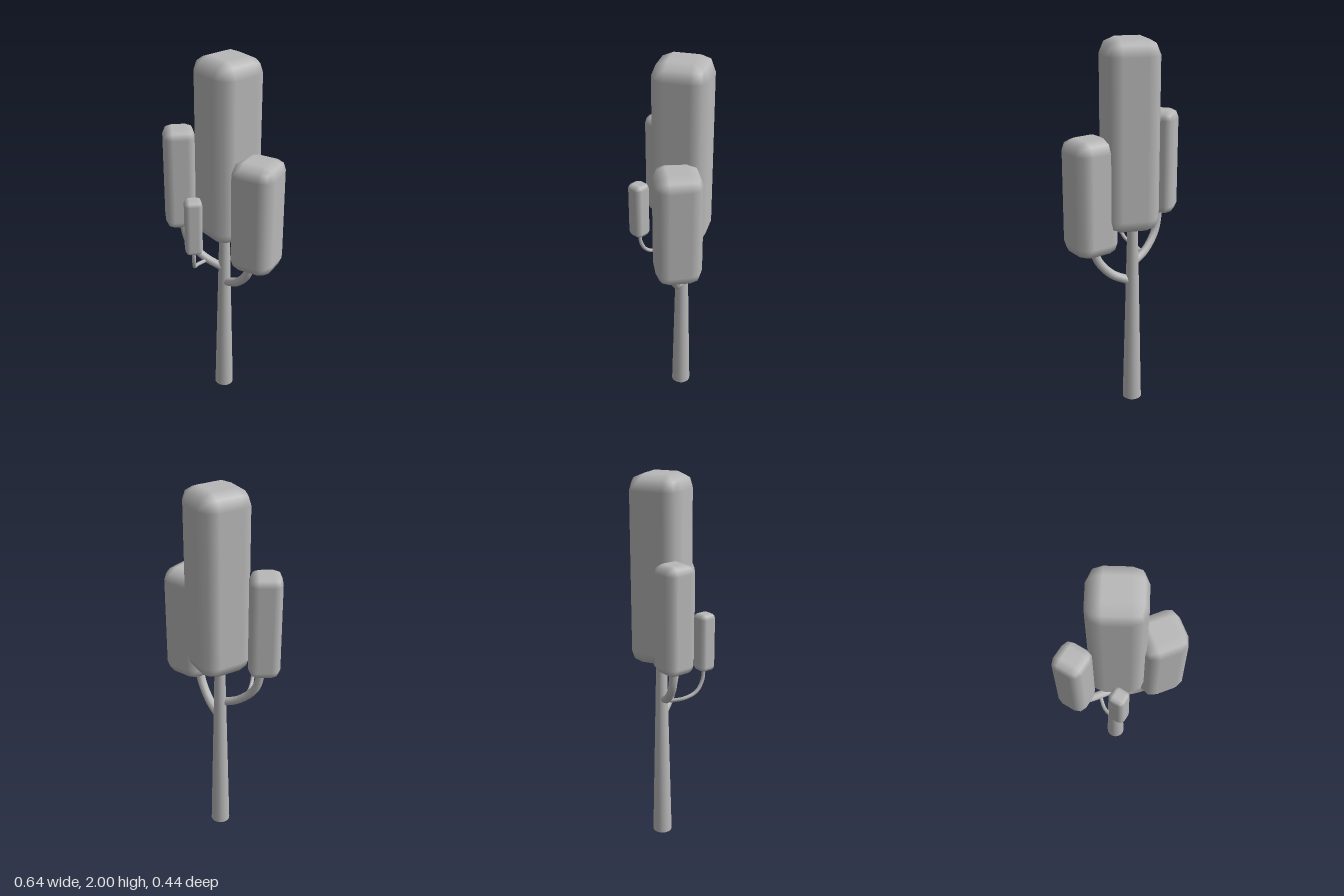
import * as THREE from 'three';
import { RoundedBoxGeometry } from 'three/addons/geometries/RoundedBoxGeometry.js';

export function createModel() {
  const tree = new THREE.Group();
  tree.name = 'tree';
  const grey = new THREE.MeshStandardMaterial({ color: 0xb8b8b8 });
  grey.name = 'plain grey';

  const add = (name, geometry) => {
    const mesh = new THREE.Mesh(geometry, grey);
    mesh.name = name;
    tree.add(mesh);
    return mesh;
  };

  // Tapered trunk, open at the bottom
  add('trunk', new THREE.CylinderGeometry(0.027, 0.052, 1.08, 16, 1, true))
    .position.set(-0.042, 0.54, -0.057);

  // Tall rounded blocks of leaves: centre, width, bottom, top, turn in degrees
  const foliage = (name, x, z, width, bottom, top, turn) => {
    const geometry = new RoundedBoxGeometry(width, top - bottom, width, 1, width * 0.277);
    const mesh = add(name, geometry);
    mesh.position.set(x, (bottom + top) / 2, z);
    mesh.rotation.y = THREE.MathUtils.degToRad(turn);
  };
  foliage('mainFoliage', -0.023, -0.061, 0.283, 1.02, 2.0, 0);
  foliage('leftFoliage', 0.188, -0.09, 0.238, 0.905, 1.52, 23);
  foliage('rightFoliage', -0.23, 0.094, 0.162, 1.045, 1.605, -30);
  foliage('smallFoliage', -0.01, 0.17, 0.09, 0.995, 1.305, -30);

  // Branches sweep outward, then bend straight up; a disc closes the inner end
  const branch = (name, radius, points) => {
    const curve = new THREE.CatmullRomCurve3(points.map(p => new THREE.Vector3(...p)));
    add(name, new THREE.TubeGeometry(curve, 16, radius, 10));
    const cap = add(name + 'End', new THREE.CircleGeometry(radius, 10));
    cap.position.copy(curve.getPoint(0));
    cap.lookAt(cap.position.clone().sub(curve.getTangent(0)));
  };
  branch('leftBranch', 0.024, [
    [-0.02, 0.717, -0.057], [0.07, 0.76, -0.06], [0.145, 0.845, -0.064], [0.178, 0.96, -0.067]]);
  branch('rightBranch', 0.022, [
    [-0.04, 0.805, -0.045], [-0.125, 0.85, 0.012], [-0.195, 0.94, 0.068], [-0.222, 1.08, 0.09]]);
  branch('smallBranch', 0.01, [
    [-0.115, 0.835, 0.02], [-0.09, 0.85, 0.09], [-0.045, 0.88, 0.142],
    [-0.017, 0.94, 0.165], [-0.012, 1.02, 0.17]]);

  return tree;
}
